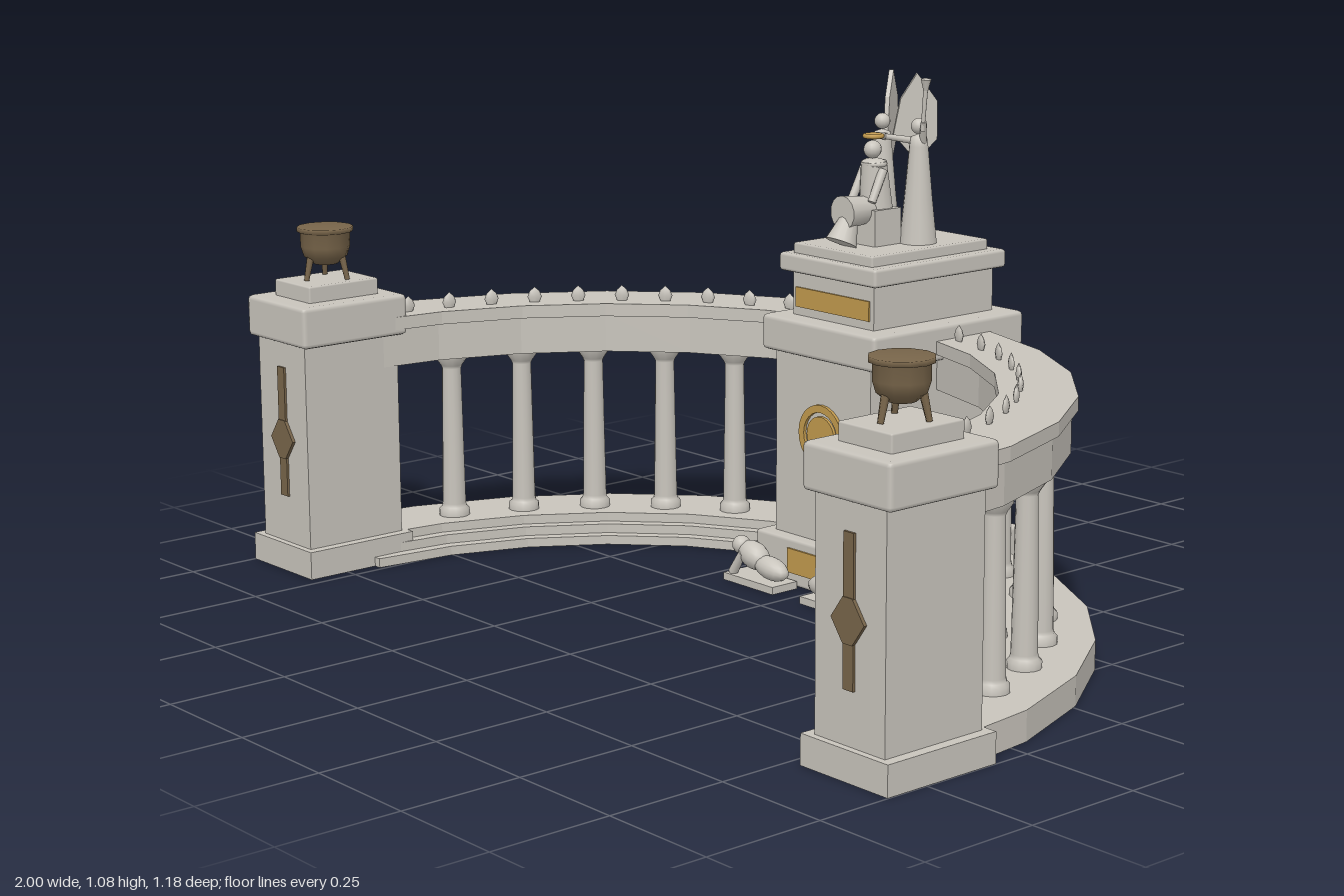
import * as THREE from 'three';
import { RoundedBoxGeometry } from 'three/addons/geometries/RoundedBoxGeometry.js';

const mat = (name, color) => Object.assign(new THREE.MeshStandardMaterial({ color }), { name });
const V = (x, y, z) => new THREE.Vector3(x, y, z);
const CZ = 0.43; // centre of the curved balustrade

export function createModel() {
  const stone = mat('stone', 0xc8c4bc);
  const bronze = mat('bronze', 0x78654a);
  const gold = mat('gold', 0xc29a4e);
  const root = new THREE.Group();
  root.name = 'monument';

  const group = (name, parent = root) => {
    const g = new THREE.Group();
    g.name = name;
    parent.add(g);
    return g;
  };
  const add = (parent, name, geo, m, x = 0, y = 0, z = 0) => {
    const mesh = new THREE.Mesh(geo, m);
    mesh.name = name;
    mesh.position.set(x, y, z);
    parent.add(mesh);
    return mesh;
  };
  // box given by centre x, bottom, top, centre z
  const block = (p, name, w, d, y0, y1, x, z, bevel = 0, m = stone) => add(p, name,
    bevel ? new RoundedBoxGeometry(w, y1 - y0, d, 1, bevel) : new THREE.BoxGeometry(w, y1 - y0, d),
    m, x, (y0 + y1) / 2, z);
  const lathe = (pts, n) => new THREE.LatheGeometry(pts.map(([r, y]) => new THREE.Vector2(r, y)), n);
  const ball = (p, name, r, x, y, z, sx = 1, sy = 1, sz = 1) => {
    const b = add(p, name, new THREE.SphereGeometry(r, 14, 10), stone, x, y, z);
    b.scale.set(sx, sy, sz);
    return b;
  };
  // tapered rod between two points
  const rod = (p, name, a, b, r0, r1, m = stone, n = 10) => {
    const d = b.clone().sub(a);
    const mesh = add(p, name, new THREE.CylinderGeometry(r1, r0, d.length(), n), m);
    mesh.position.copy(a).addScaledVector(d, 0.5);
    mesh.quaternion.setFromUnitVectors(V(0, 1, 0), d.normalize());
    return mesh;
  };
  // faceted curved slab
  const arc = (p, name, r0, r1, y0, y1, side) => {
    const at = (r, i) => {
      const a = THREE.MathUtils.degToRad(i * 80 / 6);
      return new THREE.Vector2(side * r * Math.cos(a), r * Math.sin(a) - CZ);
    };
    const pts = [];
    for (let i = 0; i <= 6; i++) pts.push(at(r1, i));
    for (let i = 6; i >= 0; i--) pts.push(at(r0, i));
    const geo = new THREE.ExtrudeGeometry(new THREE.Shape(pts), { depth: y1 - y0, bevelEnabled: false });
    geo.rotateX(-Math.PI / 2);
    add(p, name, geo, stone, 0, y0, 0);
  };
  const plate = (pts, depth) => new THREE.ExtrudeGeometry(
    new THREE.Shape(pts.map(([x, y]) => new THREE.Vector2(x, y))), { depth, bevelEnabled: false });

  const columnGeo = lathe([[0.034, 0.06], [0.034, 0.074], [0.028, 0.08], [0.026, 0.088],
    [0.021, 0.395], [0.024, 0.402], [0.035, 0.418], [0.035, 0.43]], 14);
  const finialGeo = lathe([[0.011, 0], [0.016, 0.012], [0.011, 0.024], [0, 0.034]], 8);
  const bowlGeo = lathe([[0, 0.655], [0.026, 0.657], [0.046, 0.673], [0.053, 0.695],
    [0.053, 0.725], [0.06, 0.727], [0.06, 0.737], [0, 0.737]], 12);

  for (const side of [-1, 1]) {
    const label = side > 0 ? 'left' : 'right';
    // curved base, steps, beam and cornice
    const wing = group(label + 'Balustrade');
    arc(wing, 'base', 0.81, 0.98, 0, 0.06, side);
    arc(wing, 'upperStep', 0.785, 0.81, 0, 0.04, side);
    arc(wing, 'lowerStep', 0.76, 0.785, 0, 0.02, side);
    arc(wing, 'beam', 0.805, 0.925, 0.43, 0.513, side);
    arc(wing, 'cornice', 0.785, 0.937, 0.513, 0.541, side);

    const onArc = (name, geo, r, deg, y) => {
      const a = THREE.MathUtils.degToRad(deg);
      const m = add(wing, name, geo, stone, side * r * Math.cos(a), y, CZ - r * Math.sin(a));
      m.rotation.y = side * a;
      return m;
    };
    for (let i = 0; i < 6; i++) onArc('column', columnGeo, 0.875, 17 + i * 10.5, 0);
    for (let i = 0; i < 11; i++) onArc('finial', finialGeo, 0.825, 9 + i * 6.7, 0.541).scale.x = 0.4;

    // end pier
    const x = side * 0.888, z = 0.461;
    const pier = group(label + 'Pier');
    block(pier, 'plinth', 0.222, 0.264, 0, 0.06, x, z);
    block(pier, 'shaft', 0.178, 0.236, 0.06, 0.5, x, z);
    block(pier, 'cap', 0.222, 0.264, 0.5, 0.589, x, z, 0.01);
    block(pier, 'bowlBlock', 0.135, 0.175, 0.585, 0.624, x, z, 0.004);
    block(pier, 'ornamentBar', 0.026, 0.006, 0.163, 0.446, x, 0.581, 0, bronze);
    add(pier, 'ornamentDiamond', plate([[-0.042, 0], [-0.012, -0.042], [0.012, -0.042],
      [0.042, 0], [0.012, 0.042], [-0.012, 0.042]], 0.008), bronze, x, 0.288, 0.578);

    // fire bowl on three legs
    const bowl = group(label + 'Bowl', pier);
    add(bowl, 'bowl', bowlGeo, bronze, x, 0, z);
    for (let i = 0; i < 3; i++) {
      const a = Math.PI / 2 + i * Math.PI * 2 / 3, c = Math.cos(a), s = Math.sin(a);
      rod(bowl, 'bowlLeg', V(x + c * 0.05, 0.624, z + s * 0.05), V(x + c * 0.036, 0.685, z + s * 0.036), 0.006, 0.009, bronze, 6);
    }

    // reclining figure at the foot of the pedestal
    const rec = group(label + 'RecliningFigure');
    block(rec, 'slab', 0.157, 0.07, 0, 0.016, side * 0.121, -0.105);
    ball(rec, 'legs', 0.03, side * 0.085, 0.042, -0.105, 1.6, 0.8, 0.85).rotation.z = side * 0.15;
    ball(rec, 'torso', 0.03, side * 0.14, 0.06, -0.105, 1.4, 0.95, 0.95).rotation.z = side * 0.35;
    ball(rec, 'head', 0.02, side * 0.175, 0.077, -0.1);
    rod(rec, 'arm', V(side * 0.155, 0.065, -0.085), V(side * 0.185, 0.018, -0.085), 0.009, 0.011);
  }

  // central pedestal
  const ped = group('pedestal');
  block(ped, 'plinth', 0.36, 0.447, 0, 0.104, 0, -0.368, 0.008);
  block(ped, 'shaft', 0.29, 0.4, 0.1, 0.5, 0, -0.372);
  block(ped, 'cap', 0.346, 0.437, 0.497, 0.573, 0, -0.373, 0.01);
  block(ped, 'upperBlock', 0.246, 0.346, 0.57, 0.668, 0, -0.373);
  block(ped, 'upperCap', 0.294, 0.382, 0.666, 0.705, 0, -0.371, 0.007);
  block(ped, 'topSlab', 0.24, 0.336, 0.702, 0.727, 0, -0.365, 0.004);
  block(ped, 'upperPanel', 0.224, 0.006, 0.591, 0.633, 0, -0.199, 0, gold);
  block(ped, 'lowerPanel', 0.15, 0.006, 0.03, 0.083, 0, -0.143, 0, gold);
  const ring = new THREE.Shape().absarc(0, 0, 0.067, 0, Math.PI * 2);
  ring.holes.push(new THREE.Path().absarc(0, 0, 0.051, 0, Math.PI * 2, true));
  add(ped, 'medallionRing', new THREE.ExtrudeGeometry(ring, { depth: 0.007, bevelEnabled: false }), gold, 0, 0.334, -0.172);
  add(ped, 'medallionDisc', new THREE.CylinderGeometry(0.042, 0.042, 0.007, 24).rotateX(Math.PI / 2), gold, 0, 0.334, -0.169);

  // seated figure
  const seated = group('seatedFigure');
  block(seated, 'seat', 0.08, 0.075, 0.727, 0.803, 0, -0.318);
  rod(seated, 'torso', V(0, 0.8, -0.32), V(0, 0.9, -0.314), 0.036, 0.027, stone, 14);
  ball(seated, 'shoulders', 0.03, 0, 0.895, -0.314, 1, 0.4, 0.9);
  ball(seated, 'head', 0.019, 0, 0.925, -0.31);
  rod(seated, 'lap', V(0, 0.8, -0.33), V(0, 0.8, -0.225), 0.024, 0.036, stone, 14);
  rod(seated, 'skirt', V(0, 0.81, -0.255), V(0, 0.738, -0.222), 0.012, 0.034, stone, 14);
  for (const s of [-1, 1]) rod(seated, 'arm', V(s * 0.028, 0.885, -0.314), V(s * 0.03, 0.82, -0.28), 0.01, 0.009);
  const crown = add(seated, 'crown', new THREE.TorusGeometry(0.018, 0.005, 8, 20), gold, 0, 0.953, -0.312);
  crown.rotation.x = Math.PI / 2;

  // two standing figures
  for (const s of [-1, 1]) {
    const fig = group(s < 0 ? 'wingedFigure' : 'trumpeter');
    const x = s * 0.055, z = -0.39;
    add(fig, 'gown', lathe([[0.04, 0.727], [0.03, 0.82], [0.02, 0.93], [0.017, 0.95], [0, 0.956]], 14), stone, x, 0, z);
    ball(fig, 'head', 0.017, x, 0.972, z);
    rod(fig, 'crownArm', V(x - s * 0.012, 0.94, z), V(s * 0.016, 0.952, -0.33), 0.008, 0.006);
    if (s > 0) {
      rod(fig, 'trumpetArm', V(x + 0.012, 0.94, z), V(0.083, 0.985, -0.376), 0.008, 0.006);
      rod(fig, 'trumpet', V(0.08, 0.965, -0.376), V(0.09, 1.055, -0.374), 0.004, 0.005);
      rod(fig, 'trumpetBell', V(0.09, 1.05, -0.374), V(0.092, 1.074, -0.373), 0.005, 0.011);
    } else {
      // pair of angular wings spreading backwards
      const wingGeo = plate([[0.01, 0.943], [0.06, 0.885], [0.104, 0.932], [0.104, 1.012],
        [0.06, 1.072], [0.025, 1.018]], 0.01).translate(0, 0, -0.005);
      for (const d of [-1, 1]) add(fig, 'wing', wingGeo, stone, x + d * 0.006, 0, -0.402)
        .rotation.y = Math.PI / 2 - d * 0.58;
    }
  }
  return root;
}
